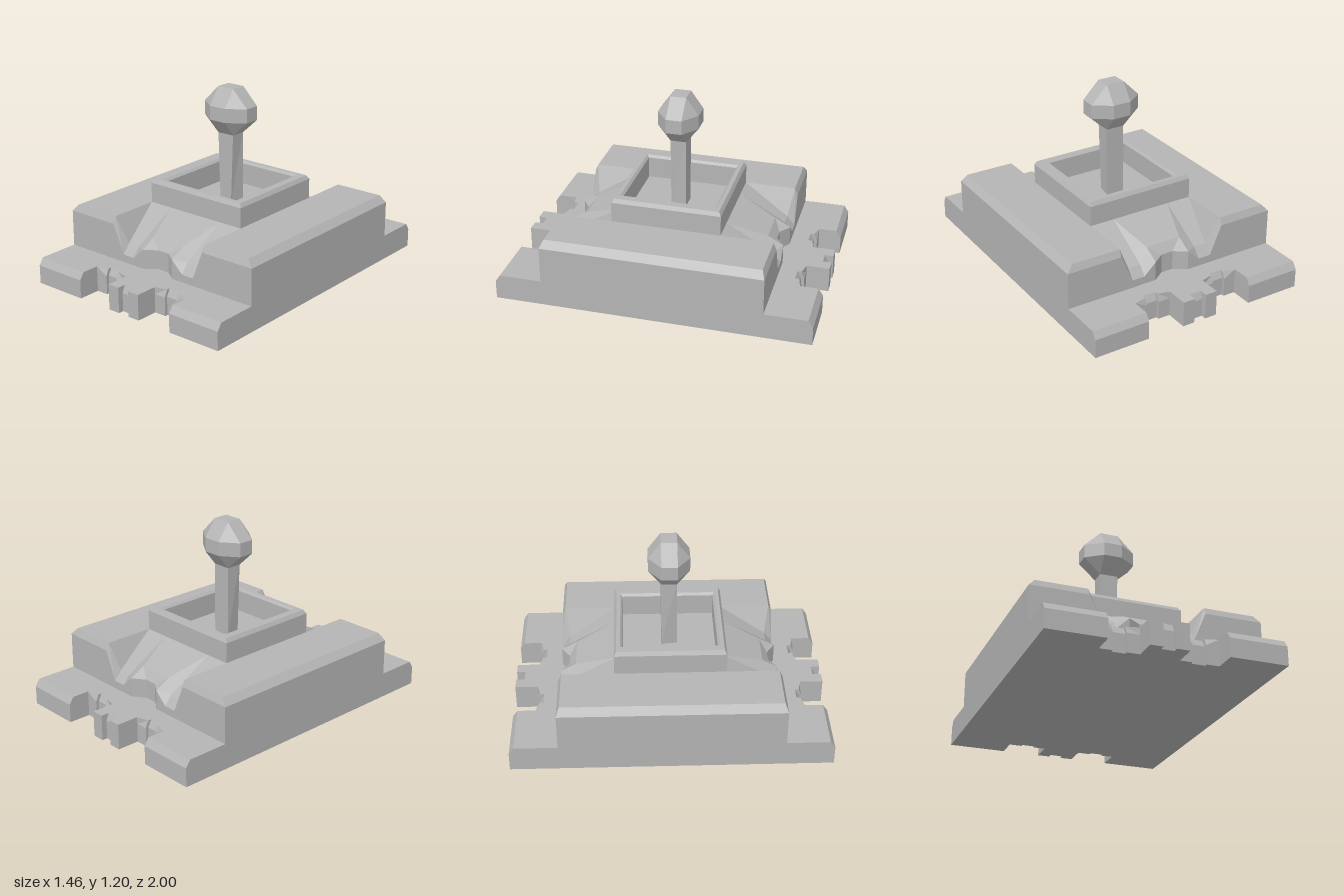
import * as THREE from 'three';
import { ConvexGeometry } from 'three/addons/geometries/ConvexGeometry.js';

const grey = new THREE.MeshStandardMaterial({ color: 0xb4b4b4, flatShading: true });
grey.name = 'grey';

// Joins successive rows of points with quads, for the +x +z quarter, then mirrors it four ways.
function quarterShell(name, rows) {
  const pos = [];
  const addTri = (a, b, c) => {
    const [u, v, w] = [a, b, c].map((p) => new THREE.Vector3(...p));
    if (v.clone().sub(u).cross(w.clone().sub(u)).length() < 1e-7) return;
    for (const sx of [1, -1]) {
      for (const sz of [1, -1]) {
        const order = sx * sz > 0 ? [a, b, c] : [a, c, b];
        for (const p of order) pos.push(p[0] * sx, p[1], p[2] * sz);
      }
    }
  };
  for (let r = 0; r + 1 < rows.length; r++) {
    const lo = rows[r], hi = rows[r + 1];
    for (let i = 0; i + 1 < lo.length; i++) {
      addTri(lo[i], lo[i + 1], hi[i + 1]);
      addTri(lo[i], hi[i + 1], hi[i]);
    }
  }
  const geo = new THREE.BufferGeometry();
  geo.setAttribute('position', new THREE.Float32BufferAttribute(pos, 3));
  geo.computeVertexNormals();
  const mesh = new THREE.Mesh(geo, grey);
  mesh.name = name;
  return mesh;
}

// Notched base plate: x, z of the wall, z of the bevelled top edge
function basePlate() {
  const outline = [
    [0, 0.965, 0.945], [0.04, 0.965, 0.945], [0.04, 1, 1], [0.12, 1, 1],
    [0.12, 0.855, 0.855], [0.2, 0.855, 0.835], [0.2, 0.835, 0.81], [0.285, 0.835, 0.81],
    [0.285, 0.855, 0.835], [0.365, 0.855, 0.855], [0.365, 1, 0.97], [0.73, 1, 0.97], [0.73, 0, 0],
  ];
  return quarterShell('basePlate', [
    outline.map(([x]) => [x, 0, 0]),
    outline.map(([x, z]) => [x, 0, z]),
    outline.map(([x, z]) => [x, 0.12, z]),
    outline.map(([x, , z]) => [x, 0.165, z]),
    outline.map(([x]) => [x, 0.165, 0]),
  ]);
}

// Main block with bevelled shoulders and a ramped channel at each end
function body() {
  const lower = [
    [0, 0.29, 0.645], [0.04, 0.29, 0.645], [0.12, 0.29, 0.7], [0.2, 0.215, 0.7],
    [0.285, 0.215, 0.7], [0.365, 0.4, 0.7], [0.73, 0.4, 0.7], [0.73, 0.4, 0],
  ];
  const upper = [
    [0, 0.345, 0.6], [0.04, 0.345, 0.6], [0.12, 0.345, 0.6], [0.2, 0.275, 0.65],
    [0.285, 0.275, 0.65], [0.365, 0.445, 0.68], [0.69, 0.445, 0.68], [0.69, 0.445, 0],
  ];
  const rampTop = [0, 0.04, 0.12, 0.2, 0.285, 0.365, 0.365].map((x) => [x, 0.445, 0.35]);
  rampTop.push([0.365, 0.445, 0]);
  const foot = lower.map(([x, , z]) => [x, 0.165, z]);
  return quarterShell('body', [foot, lower, upper, rampTop]);
}

// Open box around the stick: half width, height, half depth from outside to floor centre
function housing() {
  const steps = [
    [0.365, 0.445, 0.35], [0.365, 0.575, 0.35], [0.35, 0.6, 0.335],
    [0.3, 0.6, 0.31], [0.285, 0.585, 0.295], [0.285, 0.445, 0.295], [0, 0.445, 0],
  ];
  return quarterShell('housing', steps.map(([w, y, d]) => [[0, y, d], [w, y, d], [w, y, 0]]));
}

// Shaft whose front face narrows towards the floor
function stick() {
  const geo = new THREE.BoxGeometry(0.12, 0.475, 0.1);
  const p = geo.attributes.position;
  for (let i = 0; i < p.count; i++) {
    if (p.getY(i) < 0 && p.getZ(i) > 0) p.setX(i, p.getX(i) * 0.72);
  }
  geo.computeVertexNormals();
  const mesh = new THREE.Mesh(geo, grey);
  mesh.name = 'stick';
  mesh.position.y = 0.6825;
  return mesh;
}

// Faceted knob: small rectangles at the poles, an octagonal band in the middle
function knob() {
  const pts = [];
  for (const sx of [1, -1]) {
    for (const sz of [1, -1]) {
      for (const y of [0.9, 1.2]) pts.push(new THREE.Vector3(0.06 * sx, y, 0.05 * sz));
      for (const y of [1.0, 1.09]) {
        pts.push(new THREE.Vector3(0.17 * sx, y, 0.05 * sz));
        pts.push(new THREE.Vector3(0.06 * sx, y, 0.13 * sz));
      }
    }
  }
  const mesh = new THREE.Mesh(new ConvexGeometry(pts), grey);
  mesh.name = 'knob';
  return mesh;
}

export function createModel() {
  const group = new THREE.Group();
  group.name = 'controlStick';
  group.add(basePlate(), body(), housing(), stick(), knob());
  return group;
}
